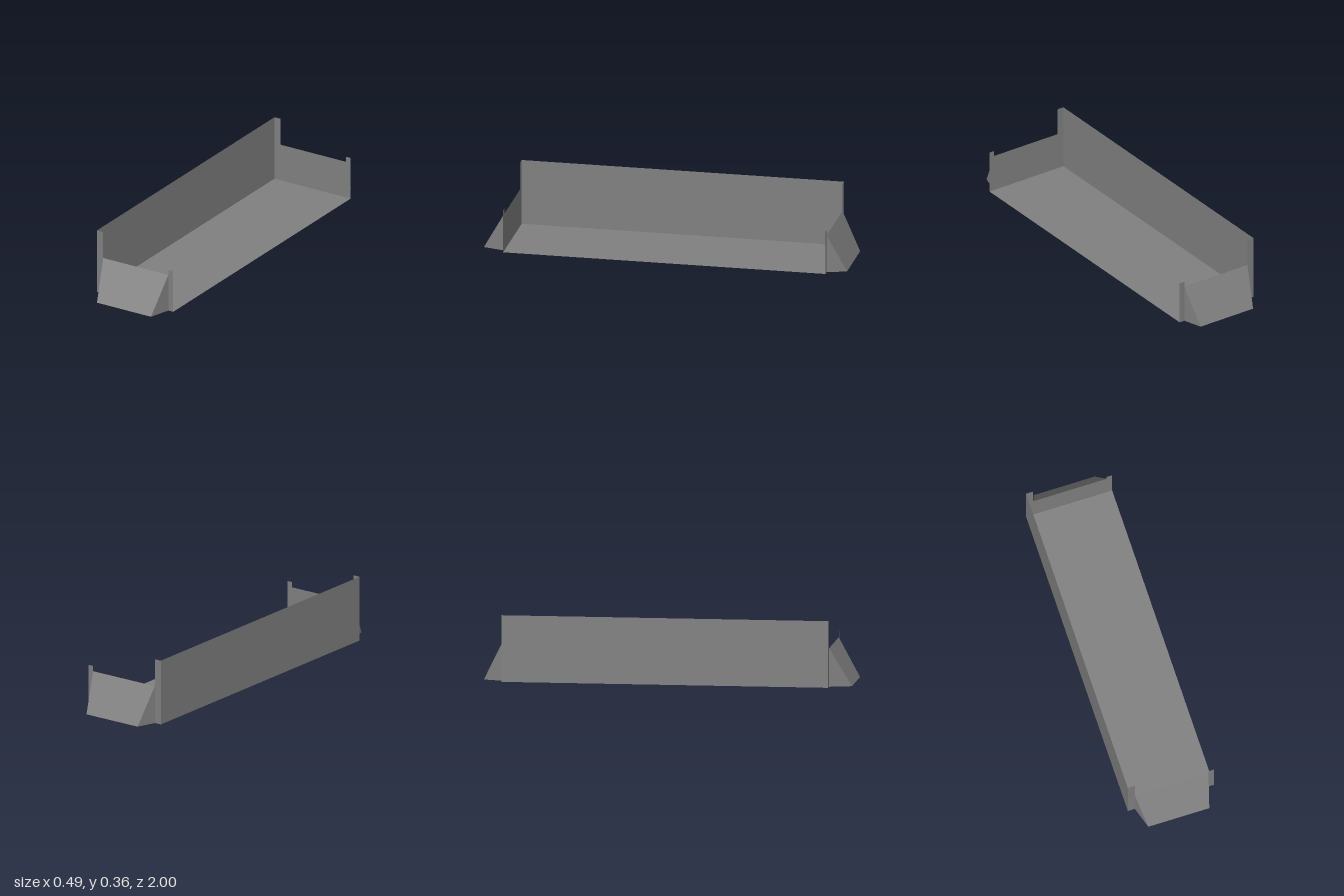
import * as THREE from 'three';

// Overall limits of the open tray
const LEFT = 0.243, RIGHT = -0.245, FRONT = 0.88, BACK = -0.895;
const WALL_H = 0.363, POST_H = 0.24, PANEL_H = 0.21;
// Ramp corners along x: at the end panel, and at the outer toe
const IN_R = -0.205, IN_L = 0.212, TOE_R = -0.168, TOE_L = 0.178;

export function createModel() {
  const model = new THREE.Group();
  const grey = new THREE.MeshStandardMaterial({ color: 0x808080, side: THREE.DoubleSide });
  grey.name = 'plain grey';

  // Flat sheet from a loop of corners (fan of triangles)
  function sheet(name, parent, corners) {
    const pos = [];
    for (let i = 1; i < corners.length - 1; i++) pos.push(...corners[0], ...corners[i], ...corners[i + 1]);
    const geo = new THREE.BufferGeometry();
    geo.setAttribute('position', new THREE.Float32BufferAttribute(pos, 3));
    geo.computeVertexNormals();
    const mesh = new THREE.Mesh(geo, grey);
    mesh.name = name;
    parent.add(mesh);
  }

  sheet('floor', model, [[RIGHT, 0, FRONT], [LEFT, 0, FRONT], [LEFT, 0, BACK], [RIGHT, 0, BACK]].reverse());
  sheet('tallSideWall', model, [[RIGHT, 0, BACK], [RIGHT, 0, FRONT], [RIGHT, WALL_H, FRONT], [RIGHT, WALL_H, BACK]]);

  // End panel outline: tall post, low middle, short post
  const outline = new THREE.Shape([
    [RIGHT, 0], [LEFT, 0], [LEFT, POST_H], [IN_L, POST_H], [IN_L, PANEL_H],
    [IN_R, PANEL_H], [IN_R, WALL_H], [RIGHT, WALL_H],
  ].map(([x, y]) => new THREE.Vector2(x, y)));

  // Each end: panel plus a sloping block with tapered cheeks
  for (const [label, z, toe] of [['front', FRONT, 1], ['back', BACK, -1]]) {
    const end = new THREE.Group();
    end.name = label + 'End';
    const panel = new THREE.Mesh(new THREE.ShapeGeometry(outline), grey);
    panel.name = label + 'Panel';
    panel.position.z = z;
    end.add(panel);

    // Reverse the corner order at the back so faces point outward
    const face = (name, corners) => sheet(label + name, end, toe > 0 ? corners : corners.reverse());
    face('Slope', [[TOE_R, 0, toe], [TOE_L, 0, toe], [IN_L, PANEL_H, z], [IN_R, PANEL_H, z]]);
    face('LeftCheek', [[TOE_L, 0, toe], [IN_L, 0, z], [IN_L, PANEL_H, z]]);
    face('RightCheek', [[IN_R, 0, z], [TOE_R, 0, toe], [IN_R, PANEL_H, z]]);
    face('SlopeBase', [[IN_R, 0, z], [IN_L, 0, z], [TOE_L, 0, toe], [TOE_R, 0, toe]]);
    model.add(end);
  }
  return model;
}
